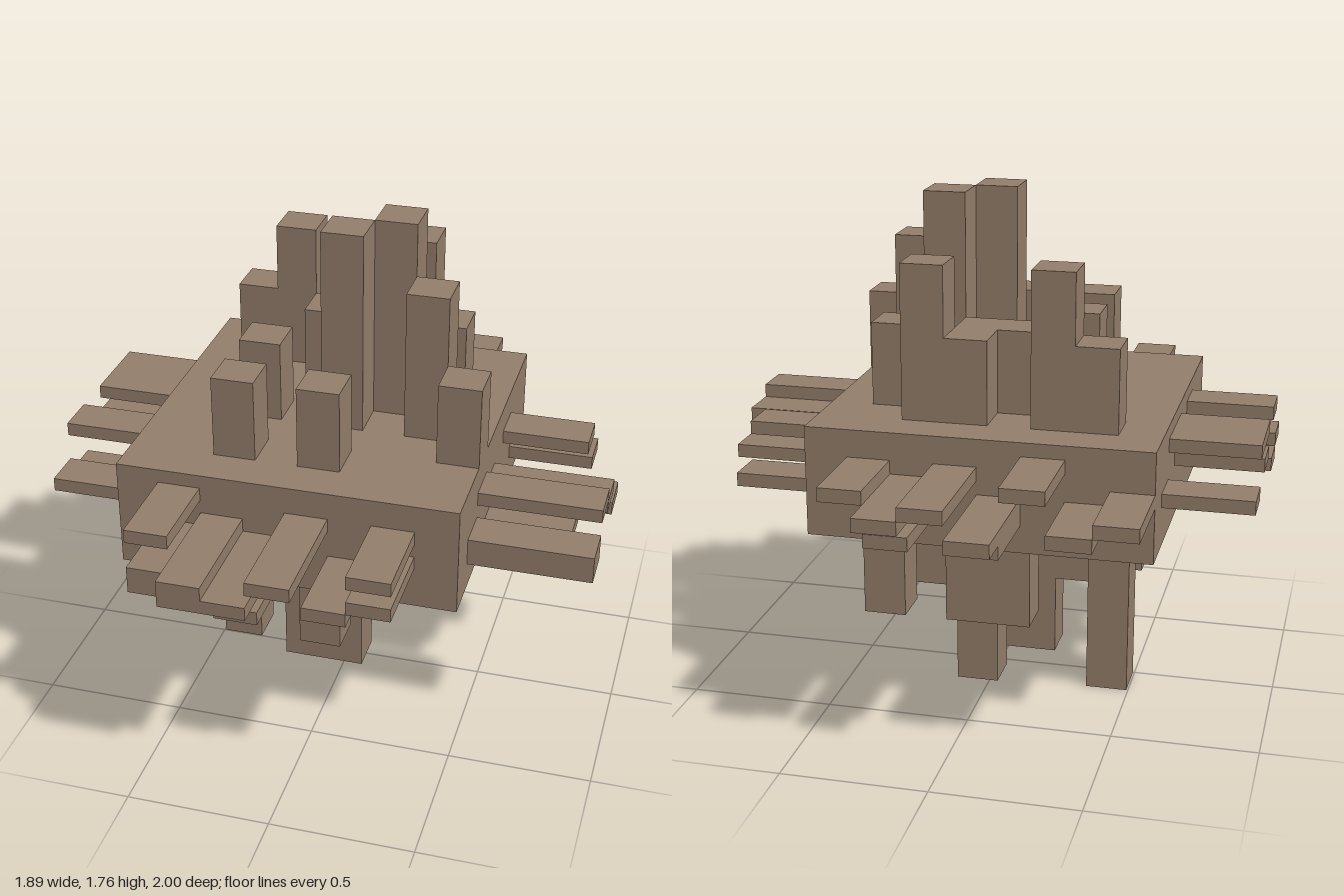
import * as THREE from 'three';

// The hull is a grid of 8 x 8 x 8 cells; every block sits on grid cells.
const MIN = [-0.64, 0.672, -0.585];
const CELL = [0.1457, 0.0473, 0.1457];
const HULL = 8;
const X = 0, Y = 1, Z = 2;

const edge = (axis, n) => MIN[axis] + CELL[axis] * n;

export function createModel() {
  const model = new THREE.Group();
  const clay = new THREE.MeshStandardMaterial({ color: 0x95806c });
  clay.name = 'warm brown';

  // Box from its two opposite corners
  function box(name, lo, hi) {
    const size = hi.map((v, n) => v - lo[n]);
    const mesh = new THREE.Mesh(new THREE.BoxGeometry(...size), clay);
    mesh.position.set(...lo.map((v, n) => v + size[n] / 2));
    mesh.name = name;
    model.add(mesh);
  }

  // Helper for one hull face: blocks grow from it to coordinate `end`.
  // u, v are the cells on the two other axes, su, sv the cells spanned.
  function face(axis, dir) {
    const [a, b] = [X, Y, Z].filter((n) => n !== axis);
    const base = edge(axis, dir > 0 ? HULL : 0);
    return (name, end, u, v, su = 1, sv = 1) => {
      const lo = [0, 0, 0], hi = [0, 0, 0];
      lo[a] = edge(a, u); hi[a] = edge(a, u + su);
      lo[b] = edge(b, v); hi[b] = edge(b, v + sv);
      lo[axis] = Math.min(base, end);
      hi[axis] = Math.max(base, end);
      box(name, lo, hi);
    };
  }

  // Hull
  box('hull', MIN, [X, Y, Z].map((n) => edge(n, HULL)));

  // Towers on the roof, cells (x, z)
  const roof = face(Y, 1);
  const lowTower = (...cells) => roof('lowTower', 1.338, ...cells);
  const midTower = (...cells) => roof('midTower', 1.58, ...cells);
  const tallTower = (...cells) => roof('tallTower', 1.765, ...cells);
  lowTower(1, 1);
  lowTower(4, 1);
  lowTower(3, 2, 2);
  lowTower(6, 2);
  lowTower(2, 4);
  lowTower(7, 5);
  lowTower(2, 6);
  lowTower(4, 6);
  midTower(2, 1);
  midTower(5, 1);
  midTower(6, 4);
  tallTower(5, 3);
  tallTower(4, 4);

  // Pillars below, cells (x, z)
  const floor = face(Y, -1);
  const lowPillar = (...cells) => floor('lowPillar', 0.343, ...cells);
  const midPillar = (...cells) => floor('midPillar', 0.057, ...cells);
  lowPillar(6, 1);
  lowPillar(3, 1, 2);
  lowPillar(5, 3, 2);
  lowPillar(2, 4);
  lowPillar(1, 5);
  lowPillar(4, 6);
  midPillar(4, 2);
  midPillar(3, 4, 2);
  floor('longPillar', 0, 1, 3);

  // Slats on the front, cells (x, y)
  const front = face(Z, 1);
  const frontSlat = (...cells) => front('frontSlat', 0.886, ...cells);
  const longFrontSlat = (...cells) => front('longFrontSlat', 1, ...cells);
  frontSlat(1, 6);
  frontSlat(1, 2, 1, 2);
  frontSlat(6, 5);
  frontSlat(5, 2);
  frontSlat(6, 3);
  frontSlat(3, 1);
  longFrontSlat(2, 4);
  longFrontSlat(2, 3, 2);
  longFrontSlat(4, 5);

  // Slats on the back, cells (x, y)
  const back = face(Z, -1);
  const backSlat = (...cells) => back('backSlat', -0.888, ...cells);
  const longBackSlat = (...cells) => back('longBackSlat', -1, ...cells);
  backSlat(6, 5);
  backSlat(5, 2);
  backSlat(3, 2);
  backSlat(2, 6);
  backSlat(1, 3);
  backSlat(0, 4);
  longBackSlat(5, 4);
  longBackSlat(4, 5);
  longBackSlat(3, 3);

  // Slats on the left side, cells (y, z)
  const left = face(X, 1);
  const leftSlat = (...cells) => left('leftSlat', 0.83, ...cells);
  const longLeftSlat = (...cells) => left('longLeftSlat', 0.943, ...cells);
  leftSlat(5, 2);
  leftSlat(2, 1);
  leftSlat(1, 4);
  longLeftSlat(5, 5);
  longLeftSlat(4, 4);
  longLeftSlat(2, 6, 2);
  longLeftSlat(2, 3);

  // Slats on the right side, cells (y, z)
  const right = face(X, -1);
  const rightSlat = (...cells) => right('rightSlat', -0.945, ...cells);
  rightSlat(6, 2, 1, 2);
  rightSlat(3, 1);
  rightSlat(4, 3);
  rightSlat(6, 5);
  rightSlat(2, 5);
  rightSlat(3, 6);

  return model;
}
